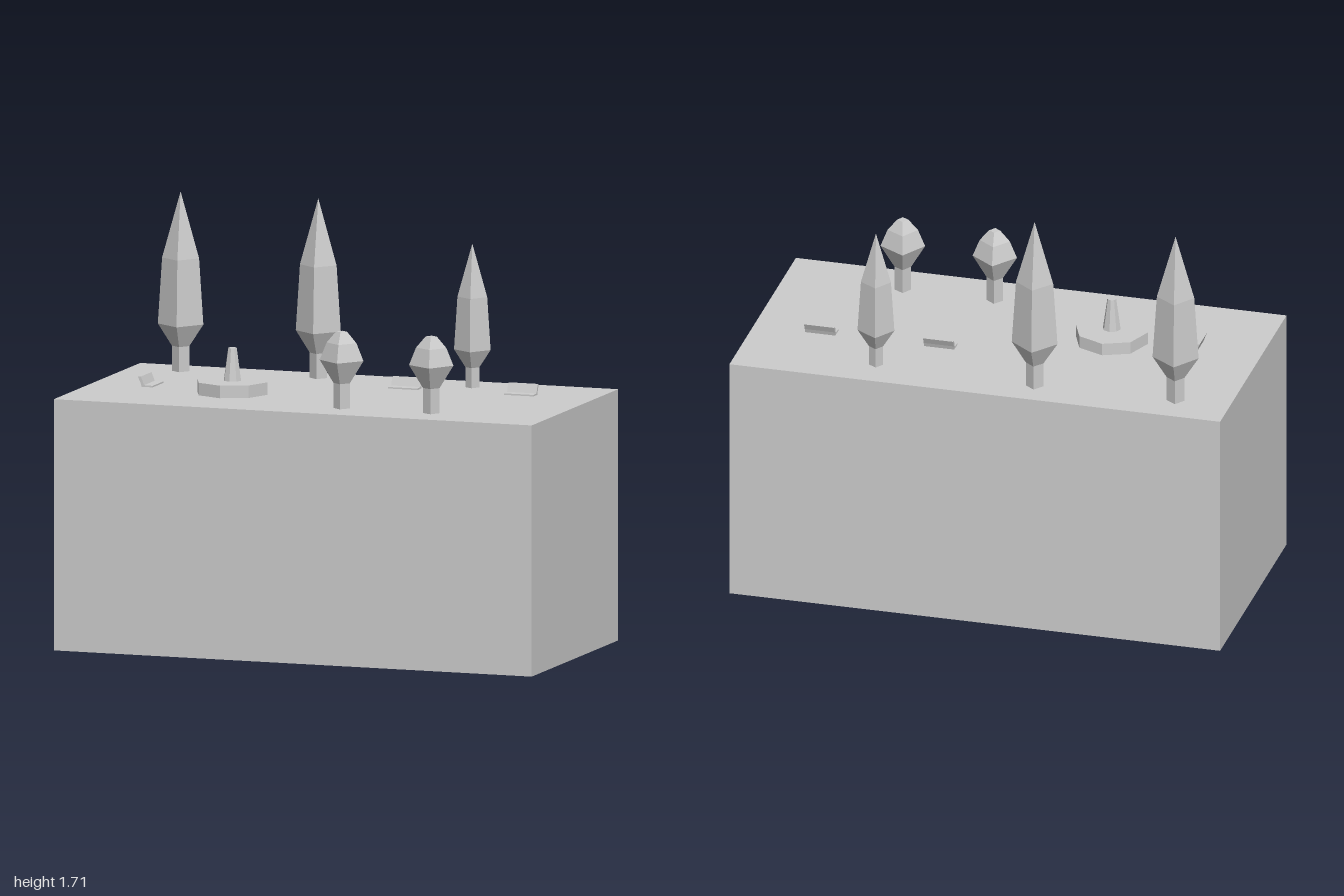
import * as THREE from 'three';

export function createModel() {
  const model = new THREE.Group();
  model.name = 'parkBlock';
  const gray = new THREE.MeshStandardMaterial({ color: 0xcccccc, flatShading: true });
  gray.name = 'lightGray';

  const add = (name, geometry, x, y, z, turn = 0) => {
    const mesh = new THREE.Mesh(geometry, gray);
    mesh.name = name;
    mesh.position.set(x, y, z);
    mesh.rotation.y = THREE.MathUtils.degToRad(turn);
    model.add(mesh);
    return mesh;
  };
  // Faceted solid from a [radius, height] profile
  const turned = (profile, sides) =>
    new THREE.LatheGeometry(profile.map(([r, y]) => new THREE.Vector2(r, y)), sides);

  // Ground block, top at y = 1
  add('groundBlock', new THREE.BoxGeometry(2, 1, 1), 0, 0.5, 0);

  // Tall pointed trees: four-sided trunk and crown in one profile
  const cypress = turned([[0.035, 0], [0.035, 0.1], [0.091, 0.187], [0.074, 0.45], [0, 0.715]], 4);
  for (const [x, z, turn, size] of [
    [-0.78, -0.358, 10, 1], [-0.21, -0.375, 7, 1], [0.443, -0.352, 12, 0.8],
  ]) add('pointedTree', cypress, x, 1, z, turn).scale.setScalar(size);

  // Short round-headed trees
  const bush = turned(
    [[0.033, 0], [0.033, 0.1], [0.088, 0.19], [0.06, 0.26], [0.022, 0.305], [0, 0.305]], 4);
  add('roundTree', bush, 0.144, 1, 0.333, 8);
  add('roundTree', bush, 0.519, 1, 0.333, 14);

  // Fountain: octagonal basin with a tapering spout
  add('fountainBasin', new THREE.CylinderGeometry(0.147, 0.147, 0.05, 8), -0.394, 1.025, 0.108);
  add('fountainSpout', new THREE.CylinderGeometry(0.018, 0.036, 0.13, 8), -0.394, 1.115, 0.108);

  // Benches: thin seat with a leaning back, side profile extruded along the length
  const side = new THREE.Shape([
    [0.031, 0.014], [0.031, 0.02], [-0.005, 0.021], [-0.018, 0.055],
    [-0.031, 0.055], [-0.02, 0.03], [-0.015, 0.014],
  ].map(([d, y]) => new THREE.Vector2(d, y)));
  const bench = new THREE.ExtrudeGeometry(side, { depth: 0.123, bevelEnabled: false });
  bench.translate(0, 0, -0.0615).rotateY(-Math.PI / 2); // seat faces +z
  add('bench', bench, 0.235, 1, -0.154);
  add('bench', bench, 0.72, 1, -0.154);
  add('bench', bench, -0.738, 1, 0.105, 90);

  return model;
}
